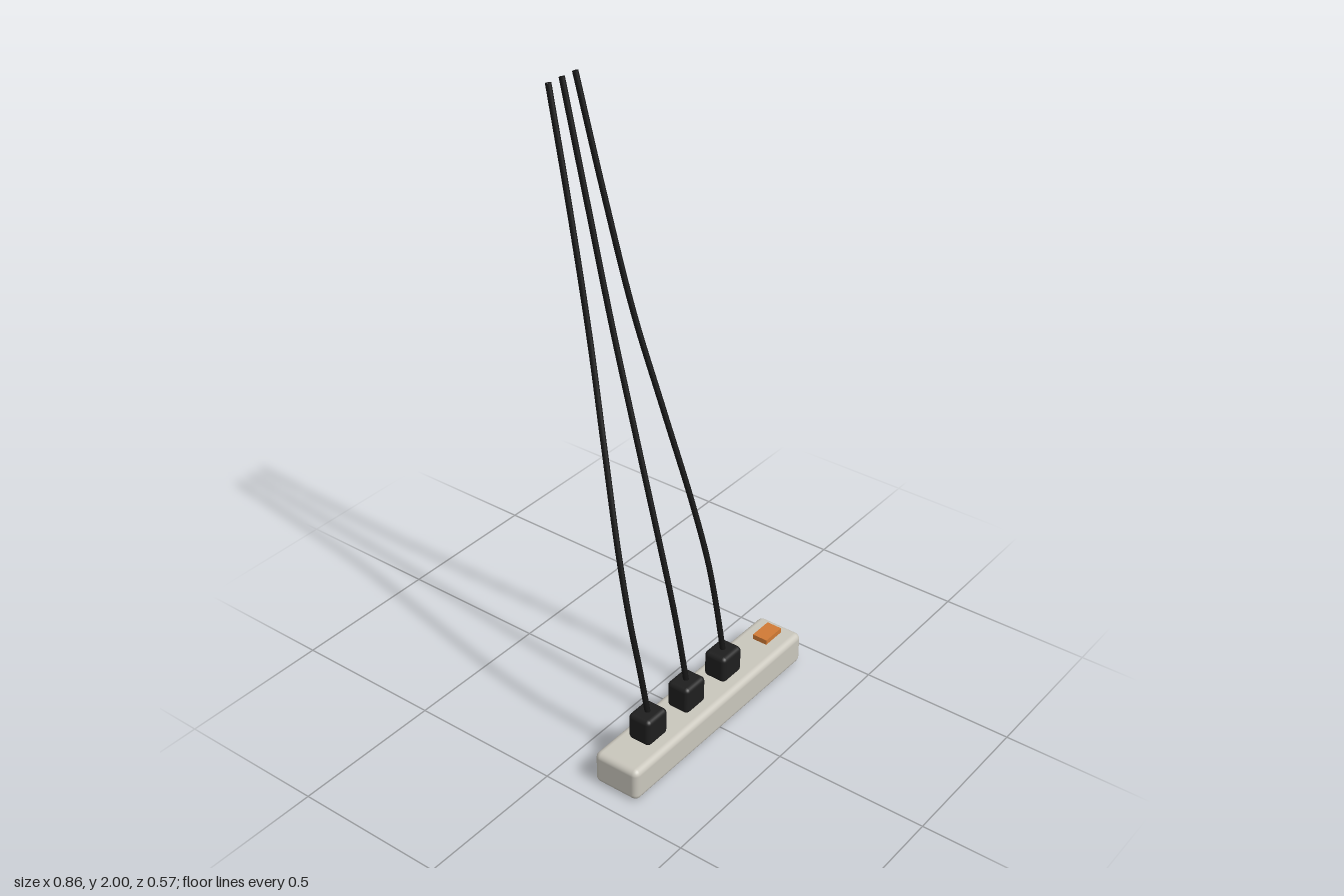
import * as THREE from 'three';
import { RoundedBoxGeometry } from 'three/addons/geometries/RoundedBoxGeometry.js';

const mat = (name, color) => new THREE.MeshStandardMaterial({ name, color });

export function createModel() {
  const body = mat('warmGrey', 0xc9c6bc);
  const plugBlack = mat('plugBlack', 0x1e1e1e);
  const cableBlack = mat('cableBlack', 0x141414);
  const orange = mat('switchOrange', 0xd07a35);
  const group = new THREE.Group();
  const Z = 0.205; // centre line of the strip

  const add = (name, geometry, material, x = 0, y = 0, z = 0) => {
    const mesh = new THREE.Mesh(geometry, material);
    mesh.name = name;
    mesh.position.set(x, y, z);
    group.add(mesh);
    return mesh;
  };

  // Strip housing and its switch
  add('stripHousing', new RoundedBoxGeometry(0.86, 0.11, 0.16, 3, 0.02), body, 0, 0.055, Z);
  add('powerSwitch', new THREE.BoxGeometry(0.082, 0.03, 0.052), orange, 0.349, 0.112, Z);

  // Cable course: height, depth, and share of the sideways drift
  const course = [
    [0.18, 0.208, 0], [0.35, 0.176, -0.015], [0.5, 0.142, -0.015], [0.7, 0.085, 0.1],
    [1.0, -0.008, 0.39], [1.3, -0.1, 0.68], [1.65, -0.192, 0.87], [1.998, -0.28, 1],
  ];
  const outlets = [[-0.272, -0.083], [-0.082, -0.026], [0.107, 0.031]];
  const radius = 0.009;

  outlets.forEach(([from, to], i) => {
    add(`plug${i + 1}`, new RoundedBoxGeometry(0.095, 0.092, 0.08, 3, 0.015), plugBlack, from, 0.159, Z);
    const points = course.map(([y, z, s]) => new THREE.Vector3(from + (to - from) * s, y, z));
    const path = new THREE.CatmullRomCurve3(points);
    add(`cable${i + 1}`, new THREE.TubeGeometry(path, 48, radius, 10), cableBlack);
    // Flat cut at the upper end
    const end = path.getPoint(1);
    const cap = add(`cableEnd${i + 1}`, new THREE.CircleGeometry(radius, 10), cableBlack, end.x, end.y, end.z);
    cap.quaternion.setFromUnitVectors(new THREE.Vector3(0, 0, 1), path.getTangent(1));
  });

  return group;
}
